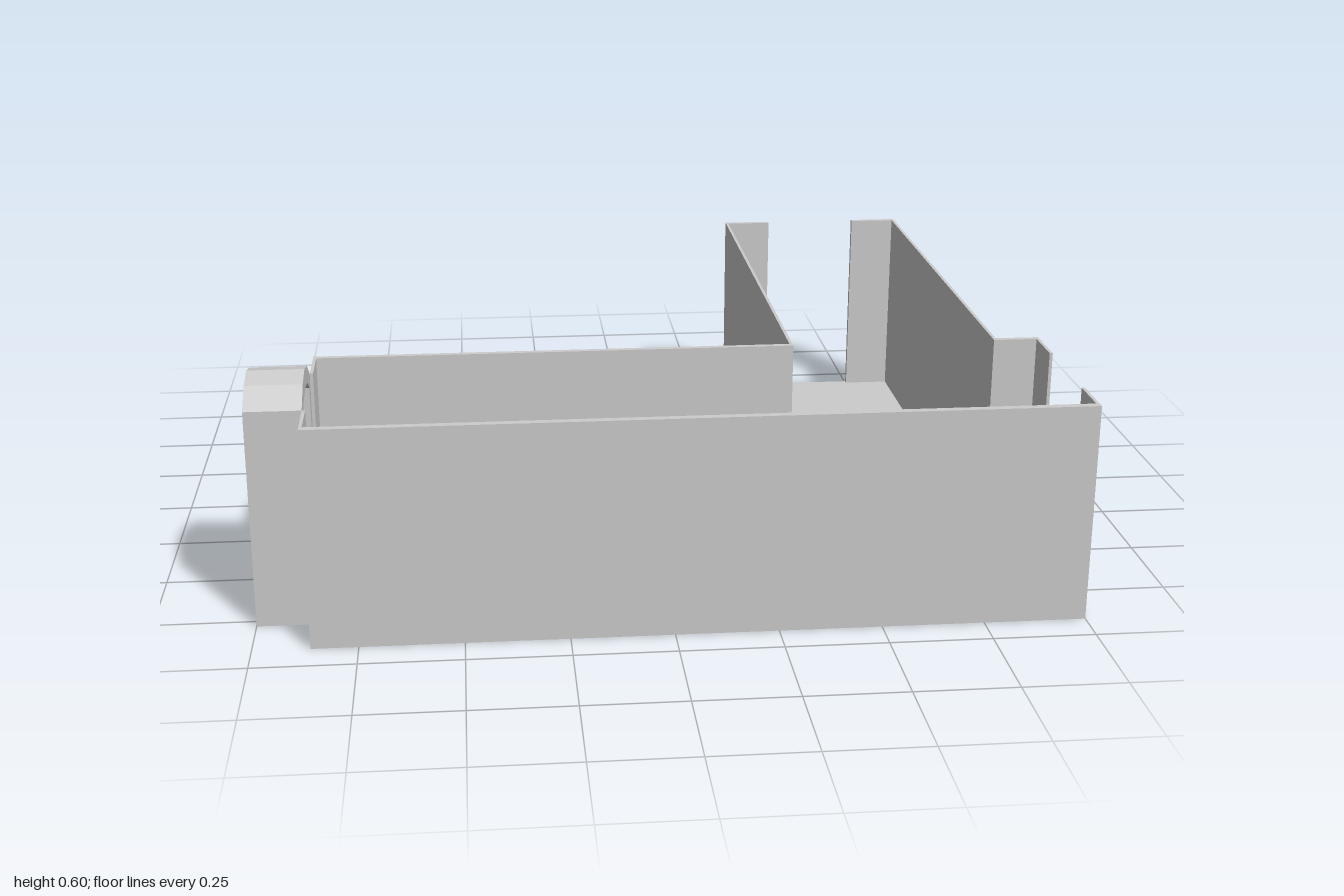
import * as THREE from 'three';

const material = new THREE.MeshStandardMaterial({ color: 0xcccccc, flatShading: true });
const WALL_H = 0.547, FLOOR_H = 0.004;

// Main hall, rear wing and doorway extents
const L = -0.863, R = 1, F = 0.912, B = 0.369;
const WL = 0.348, WR = 0.888, WB = -0.912;
const D0 = 0.505, D1 = 0.778; // end doorways along z
const E0 = 0.484, E1 = 0.751; // rear doorway along x
const T = 0.015, S = 0.008;   // long-wall and side-wall thickness

// Extrude a floor-plan outline of [x, z] points straight up
function planMesh(name, points, height) {
  const shape = new THREE.Shape(points.map(([x, z]) => new THREE.Vector2(x, -z)));
  const geometry = new THREE.ExtrudeGeometry(shape, { depth: height, bevelEnabled: false });
  geometry.rotateX(-Math.PI / 2);
  const mesh = new THREE.Mesh(geometry, material);
  mesh.name = name;
  return mesh;
}

export function createModel() {
  const group = new THREE.Group();
  group.name = 'corridor';

  // T-shaped floor with a tab beneath the arch
  group.add(planMesh('floor', [
    [L, F], [R, F], [R, B], [WR, B], [WR, WB], [WL, WB], [WL, B],
    [L, B], [L, D0], [-1, D0], [-1, D1], [L, D1],
  ], FLOOR_H));

  // Front wall with a return at each end
  group.add(planMesh('frontWall', [
    [L, D1], [L, F], [R, F], [R, D1], [R - S, D1], [R - S, F - T - 0.004],
    [L + S, F - T - 0.004], [L + S, D1],
  ], WALL_H));

  // Rear wall turning into the wing, on the arch side
  group.add(planMesh('rightRearWall', [
    [L, D0], [L, B], [WL, B], [WL, WB], [E0, WB], [E0, WB + T],
    [WL + S, WB + T], [WL + S, B + T], [L + S, B + T], [L + S, D0],
  ], WALL_H));

  // Rear wall turning into the wing, on the open-end side
  group.add(planMesh('leftRearWall', [
    [R, D0], [R, B], [WR, B], [WR, WB], [E1, WB], [E1, WB + T],
    [WR - S, WB + T], [WR - S, B + T], [R - S, B + T], [R - S, D0],
  ], WALL_H));

  // Arched entrance: half profiles mirrored about its centre line
  const mid = (D0 + D1) / 2;
  const mirrored = (half, top) => [
    ...half.map(([d, y]) => [mid - d, y]), [mid, top],
    ...half.slice().reverse().map(([d, y]) => [mid + d, y]),
  ];
  const outer = mirrored([[0.1365, 0], [0.1365, 0.547], [0.069, 0.589]], 0.604);
  const inner = mirrored([[0.104, 0], [0.104, 0.521], [0.069, 0.546]], 0.559);
  const outline = [...outer, ...inner.reverse()].map(([z, y]) => new THREE.Vector2(z, y));
  const archGeometry = new THREE.ExtrudeGeometry(new THREE.Shape(outline), {
    depth: 1 + L, bevelEnabled: false,
  });
  archGeometry.rotateY(-Math.PI / 2).translate(L, 0, 0);
  const arch = new THREE.Mesh(archGeometry, material);
  arch.name = 'entranceArch';
  group.add(arch);

  return group;
}
